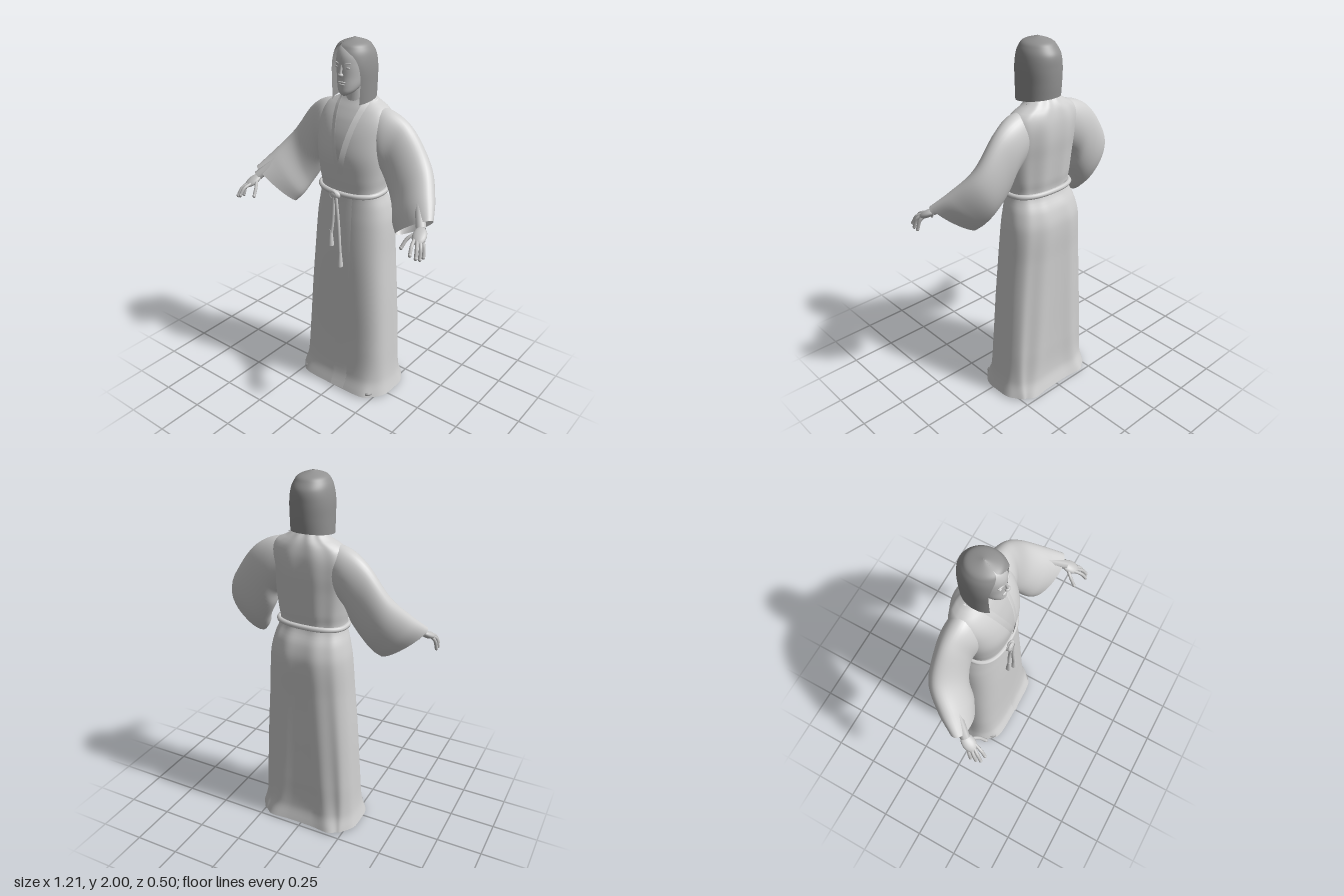
import * as THREE from 'three';

const V = (x, y, z) => new THREE.Vector3(x, y, z);

// Smooth lookup in a table of rows whose first column is y
function sample(rows, y) {
  let i = 0;
  while (i < rows.length - 2 && y > rows[i + 1][0]) i++;
  const a = rows[i], b = rows[i + 1], h = b[0] - a[0];
  const p = rows[i - 1] || a, q = rows[i + 2] || b;
  const t = THREE.MathUtils.clamp((y - a[0]) / h, 0, 1), t2 = t * t, t3 = t2 * t;
  return a.map((av, c) => {
    const m0 = (b[c] - p[c]) / (b[0] - p[0]) * h, m1 = (q[c] - av) / (q[0] - a[0]) * h;
    return (2 * t3 - 3 * t2 + 1) * av + (t3 - 2 * t2 + t) * m0 + (3 * t2 - 2 * t3) * b[c] + (t3 - t2) * m1;
  });
}

// Surface from f(u, v); closed joins u = 1 to u = 0
function surface(nu, nv, f, closed = true) {
  const pos = [], index = [], cols = closed ? nu : nu + 1;
  for (let j = 0; j <= nv; j++)
    for (let i = 0; i < cols; i++) pos.push(...f(i / nu, j / nv).toArray());
  for (let j = 0; j < nv; j++)
    for (let i = 0; i < nu; i++) {
      const a = j * cols + i, b = j * cols + (i + 1) % cols;
      index.push(a, b, b + cols, a, b + cols, a + cols);
    }
  const g = new THREE.BufferGeometry();
  g.setAttribute('position', new THREE.Float32BufferAttribute(pos, 3));
  g.setIndex(index);
  g.computeVertexNormals();
  return g;
}

// Superellipse ring point; r = [y, halfWidth, zFront, zBack, exponent]
function ringPoint(r, angle) {
  const s = Math.sin(angle), c = Math.cos(angle), e = 2 / r[4];
  return V(r[1] * Math.sign(s) * Math.abs(s) ** e, r[0],
    (r[2] + r[3]) / 2 + (r[2] - r[3]) / 2 * Math.sign(c) * Math.abs(c) ** e);
}

function mirror(geo) {
  const g = geo.clone().applyMatrix4(new THREE.Matrix4().makeScale(-1, 1, 1)), ix = g.index;
  for (let i = 0; i < ix.count; i += 3) {
    const b = ix.getX(i + 1);
    ix.setX(i + 1, ix.getX(i + 2));
    ix.setX(i + 2, b);
  }
  return g;
}

const ball = (x, y, z, sx, sy, sz) => new THREE.SphereGeometry(1, 20, 14).scale(sx, sy, sz).translate(x, y, z);
const tube = (pts, r, closed = false, n = 20) =>
  new THREE.TubeGeometry(new THREE.CatmullRomCurve3(pts, closed), n, r, 8, closed);

// y, half width, front z, back z, squareness
const robeRows = [
  [0.012, 0.288, 0.145, -0.243, 4.2], [0.1, 0.275, 0.115, -0.218, 3.6], [0.3, 0.266, 0.1, -0.216, 3.2],
  [0.6, 0.25, 0.092, -0.22, 2.9], [0.85, 0.232, 0.085, -0.224, 2.7], [1.05, 0.22, 0.075, -0.228, 2.5],
  [1.14, 0.203, 0.07, -0.208, 2.4], [1.22, 0.18, 0.068, -0.17, 2.4], [1.3, 0.19, 0.08, -0.178, 2.3],
  [1.42, 0.205, 0.09, -0.19, 2.2], [1.52, 0.212, 0.07, -0.2, 2.2], [1.6, 0.21, 0.035, -0.198, 2.2],
  [1.655, 0.18, -0.002, -0.186, 2.1], [1.69, 0.115, -0.03, -0.17, 2], [1.715, 0.085, -0.045, -0.15, 2]];
const headRows = [
  [1.725, 0.006, 0.035, 0.01, 2], [1.74, 0.034, 0.05, -0.03, 2], [1.77, 0.055, 0.052, -0.08, 2],
  [1.82, 0.07, 0.05, -0.13, 2], [1.88, 0.077, 0.052, -0.15, 2], [1.93, 0.075, 0.046, -0.15, 2],
  [1.965, 0.056, 0.022, -0.12, 2], [1.985, 0.015, -0.02, -0.07, 2]];
// y, half width, front z, back z, squareness, face opening angle, parting angle
const hairRows = [
  [1.7, 0.107, 0.056, -0.172, 2.1, 0.88, 0], [1.78, 0.108, 0.062, -0.178, 2.1, 0.94, 0],
  [1.86, 0.108, 0.064, -0.18, 2.1, 0.93, -0.02], [1.92, 0.1, 0.058, -0.175, 2, 0.74, -0.06],
  [1.955, 0.086, 0.042, -0.153, 2, 0.4, -0.2], [1.978, 0.064, 0.02, -0.128, 2, 0.03, -0.42],
  [2, 0.003, -0.05, -0.06, 2, 0.01, -0.42]];

// Sheet on the robe front between two edges that depend on y, with a lift at each edge
function frontSheet(y0, y1, left, right, lift0, lift1) {
  return surface(10, 40, (u, v) => {
    const y = y0 + (y1 - y0) * v, r = sample(robeRows, y);
    const x = THREE.MathUtils.lerp(left(y), right(y), u), k = Math.min(1, Math.abs(x / r[1]));
    const z = (r[2] + r[3]) / 2 + (r[2] - r[3]) / 2 * (1 - k ** r[4]) ** (1 / r[4]);
    return V(x, y, z + THREE.MathUtils.lerp(lift0, lift1, u));
  }, false);
}

export function createModel() {
  const model = new THREE.Group();
  model.name = 'robedFigure';
  const material = (name, color) => {
    const m = new THREE.MeshStandardMaterial({ color, side: THREE.DoubleSide });
    m.name = name;
    return m;
  };
  const cloth = material('robe cloth', 0xd0d0d0), skin = material('skin', 0xc4c4c4);
  const hair = material('hair', 0x929292), sole = material('shoe', 0xa4a4a4);
  const add = (name, geo, mat) => {
    const m = new THREE.Mesh(geo, mat);
    m.name = name;
    model.add(m);
  };
  const pair = (name, geo, mat) => {
    add(name + 'Left', geo, mat);
    add(name + 'Right', mirror(geo), mat);
  };

  // Robe body with soft folds down the back and a waved hem
  add('robe', surface(112, 100, (u, v) => {
    const y = 0.012 + 1.703 * v, a = u * Math.PI * 2, p = ringPoint(sample(robeRows, y), a);
    const back = Math.max(0, -Math.cos(a));
    p.z += back * (0.003 + 0.004 * Math.max(0, 1 - y)) * Math.cos(a * 10);
    p.x += 0.014 * Math.exp(-y * 10) * Math.sin(a * 5);
    return p;
  }), cloth);

  // Overlapping front, lapels and bare chest
  const vLeft = y => 0.012 - 0.082 * (y - 1.38) / 0.32, vRight = y => 0.012 + 0.062 * (y - 1.38) / 0.32;
  add('frontOverlap', frontSheet(0.018, 1.2, () => -0.01, () => 0.12, 0.008, -0.004), cloth);
  add('chest', frontSheet(1.4, 1.7, vLeft, vRight, 0.003, 0.003), skin);
  add('lapelRight', frontSheet(1.38, 1.7, y => vLeft(y) - 0.04, vLeft, -0.004, 0.009), cloth);
  add('lapelLeft', frontSheet(1.33, 1.7, vRight, y => vRight(y) + 0.04, 0.009, -0.004), cloth);

  // Wide sleeves: top point, bottom point and half thickness at each station
  const stations = [
    [V(0.06, 1.672, -0.09), V(0.11, 1.42, -0.07), V(0, 0, 0.07)],
    [V(0.2, 1.657, -0.09), V(0.19, 1.35, -0.07), V(-0.01, 0, 0.09)],
    [V(0.305, 1.597, -0.095), V(0.225, 1.27, -0.075), V(-0.02, 0, 0.08)],
    [V(0.43, 1.43, -0.07), V(0.285, 1.17, -0.055), V(-0.04, 0, 0.076)],
    [V(0.51, 1.315, 0.022), V(0.32, 1.1, -0.015), V(-0.05, 0, 0.066)],
    [V(0.568, 1.235, 0.1), V(0.35, 1.06, 0.02), V(-0.04, 0, 0.048)]];
  const [tops, bottoms, thick] = [0, 1, 2].map(k => new THREE.CatmullRomCurve3(stations.map(s => s[k])));
  pair('sleeve', surface(40, 36, (u, v) => {
    const t = tops.getPoint(v), b = bottoms.getPoint(v), a = u * Math.PI * 2;
    return t.clone().add(b).multiplyScalar(0.5)
      .addScaledVector(t.sub(b), Math.cos(a) / 2).addScaledVector(thick.getPoint(v), Math.sin(a));
  }), cloth);

  // Forearms and hands
  pair('forearm', tube([V(0.4, 1.36, -0.04), V(0.47, 1.275, 0.04), V(0.54, 1.192, 0.125)], 0.026), skin);
  const palm = new THREE.SphereGeometry(1, 16, 12).scale(0.036, 0.019, 0.055)
    .rotateX(0.5).rotateY(0.35).translate(0.55, 1.17, 0.152);
  pair('palm', palm, skin);
  const fingers = [
    [V(0.54, 1.162, 0.18), V(0.552, 1.145, 0.222), V(0.56, 1.11, 0.247)],
    [V(0.555, 1.16, 0.18), V(0.577, 1.14, 0.215), V(0.588, 1.098, 0.238)],
    [V(0.565, 1.16, 0.17), V(0.588, 1.135, 0.198), V(0.596, 1.086, 0.215)],
    [V(0.565, 1.165, 0.155), V(0.588, 1.135, 0.172), V(0.597, 1.085, 0.185)],
    [V(0.535, 1.18, 0.14), V(0.502, 1.155, 0.18), V(0.488, 1.112, 0.213)]];
  for (const pts of fingers) {
    pair('finger', tube(pts, 0.009, false, 10), skin);
    const e = pts[2];
    pair('fingertip', ball(e.x, e.y, e.z, 0.009, 0.011, 0.009), skin);
  }

  // Belt, knot and hanging ends
  const beltPoints = [];
  for (let i = 0; i < 32; i++) {
    const p = ringPoint(sample(robeRows, 1.22), i / 16 * Math.PI);
    beltPoints.push(V(p.x * 1.02, 1.222 - 0.008 * Math.cos(i / 16 * Math.PI), p.z + (p.z > -0.05 ? 0.006 : -0.006)));
  }
  add('belt', tube(beltPoints, 0.014, true, 96), cloth);
  add('knot', ball(-0.015, 1.208, 0.09, 0.034, 0.024, 0.018), cloth);
  add('knotLoop', new THREE.TorusGeometry(0.02, 0.009, 8, 20).rotateZ(0.4).translate(-0.02, 1.208, 0.097), cloth);
  for (const [x0, x1, y] of [[-0.015, -0.036, 0.91], [0, 0.026, 0.8]]) {
    add('beltEnd', tube([V(x0, 1.2, 0.1), V((x0 + x1) / 2 - 0.002, 1.05, 0.095), V(x1, y + 0.06, 0.1)], 0.009), cloth);
    add('beltTassel', new THREE.CylinderGeometry(0.008, 0.017, 0.09, 10).translate(x1, y + 0.045, 0.1), cloth);
  }

  // Neck, head and face
  add('neck', new THREE.CylinderGeometry(0.045, 0.075, 0.16, 24).scale(1, 1, 0.85).translate(0, 1.715, -0.08), skin);
  add('head', surface(40, 36, (u, v) => ringPoint(sample(headRows, 1.725 + 0.26 * v), u * Math.PI * 2)), skin);
  add('noseBridge', tube([V(0, 1.882, 0.046), V(0, 1.855, 0.054), V(0, 1.835, 0.06)], 0.007), skin);
  add('noseTip', ball(0, 1.833, 0.058, 0.015, 0.01, 0.012), skin);
  add('upperLip', ball(0, 1.796, 0.048, 0.024, 0.005, 0.007), skin);
  add('lowerLip', ball(0, 1.785, 0.048, 0.019, 0.005, 0.007), skin);
  pair('brow', ball(0, 0, 0, 0.02, 0.004, 0.005).rotateZ(0.12).rotateY(0.3).translate(0.032, 1.888, 0.043), skin);
  pair('eyelid', ball(0.031, 1.868, 0.041, 0.014, 0.006, 0.006), skin);

  // Bobbed hair, open around the face and parted to one side
  add('hair', surface(56, 48, (u, v) => {
    const r = sample(hairRows, 1.7 + 0.3 * Math.sin(v * Math.PI / 2));
    const a = r[6] + r[5] + u * (Math.PI * 2 - 2 * r[5]), p = ringPoint(r, a);
    p.y -= (1 - v) ** 6 * 0.018 * Math.cos(a);
    return p;
  }, false), hair);

  // Flat shoes under the hem, toes turned out
  pair('shoe', ball(0, 0, 0, 0.05, 0.028, 0.13).rotateY(0.2).translate(0.2, 0.028, -0.005), sole);

  return model;
}
